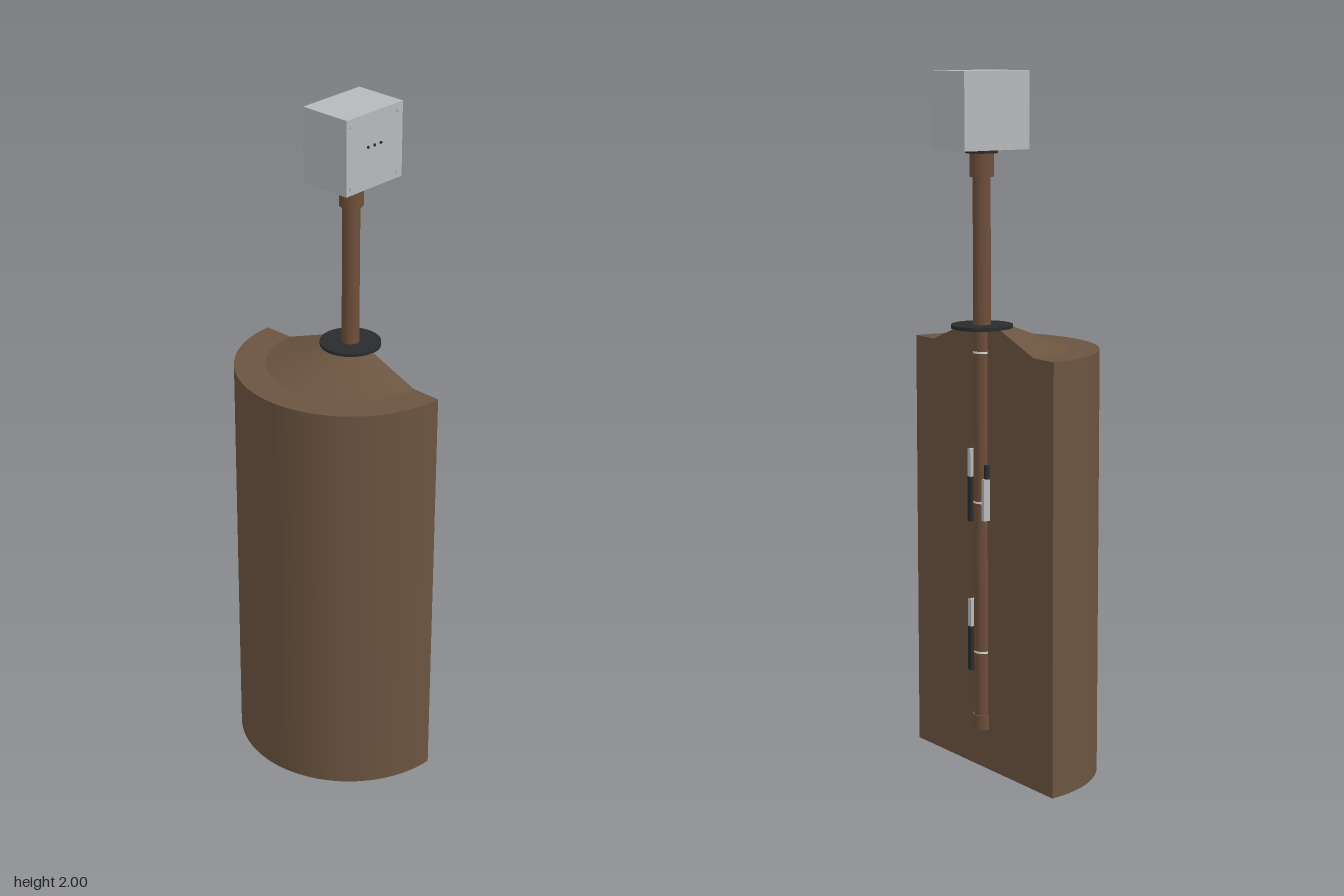
import * as THREE from 'three';
import { toCreasedNormals } from 'three/addons/utils/BufferGeometryUtils.js';

const material = (name, color) => {
  const m = new THREE.MeshStandardMaterial({ color });
  m.name = name;
  return m;
};

export function createModel() {
  const group = new THREE.Group();
  const soil = material('soil brown', 0x6b5440);
  const pipe = material('pipe brown', 0x6d4f3b);
  const grey = material('housing grey', 0xb6b8ba);
  const black = material('rubber black', 0x2a2b2c);
  const white = material('tie white', 0xe4e0d8);
  const AXIS = -0.11; // z of the pipe and of the cut face

  const add = (name, geometry, mat, x, y, z) => {
    const mesh = new THREE.Mesh(geometry, mat);
    mesh.name = name;
    mesh.position.set(x, y, z);
    group.add(mesh);
    return mesh;
  };
  // Cylinder on the pipe axis between two heights
  const ring = (name, radius, y0, y1, mat) =>
    add(name, new THREE.CylinderGeometry(radius, radius, y1 - y0, 48), mat, 0, (y0 + y1) / 2, AXIS);
  const box = (name, w, h, d, mat, x, y, z) =>
    add(name, new THREE.BoxGeometry(w, h, d), mat, x, y, z);

  // Half column of soil with a mound on top
  const profile = [[0, 0], [0.33, 0], [0.33, 1.23], [0.24, 1.23], [0.085, 1.29], [0, 1.29]]
    .map(([x, y]) => new THREE.Vector2(x, y));
  const shell = new THREE.LatheGeometry(profile, 64, -Math.PI / 2, Math.PI);
  add('soilColumn', toCreasedNormals(shell, 0.3), soil, 0, 0, AXIS);

  // Flat cut face at the back
  const outline = profile.slice(1, 5);
  const mirrored = outline.map((p) => new THREE.Vector2(-p.x, p.y)).reverse();
  const face = new THREE.ShapeGeometry(new THREE.Shape([...outline, ...mirrored]));
  add('soilCutFace', face, soil, 0, 0, AXIS).rotation.y = Math.PI;

  // Pipe with end cap, collar and seals
  ring('pipe', 0.025, 0.13, 1.78, pipe);
  ring('endCap', 0.03, 0.12, 0.163, pipe);
  ring('collar', 0.034, 1.71, 1.776, pipe);
  ring('housingSeal', 0.046, 1.775, 1.786, black);
  ring('groundDisc', 0.087, 1.288, 1.298, black);
  for (const y of [0.35, 0.79, 1.22]) ring('tie', 0.0256, y - 0.003, y + 0.003, white);

  // Two sensors on the left of the pipe: black probe below a grey head
  for (const y of [0.29, 0.73]) {
    box('sensorProbe', 0.014, 0.13, 0.05, black, 0.031, y + 0.065, AXIS);
    box('sensorHead', 0.014, 0.08, 0.05, grey, 0.031, y + 0.17, AXIS);
  }
  // Single sensor on the other side
  box('sideSensor', 0.012, 0.12, 0.04, grey, -0.03, 0.8, AXIS);
  box('sideSensorTip', 0.01, 0.04, 0.024, black, -0.03, 0.88, AXIS);

  // Housing with corner screws and three indicator dots
  box('housing', 0.159, 0.215, 0.22, grey, 0.0025, 1.8925, -0.112);
  const stud = (name, radius, mat, y, z) => {
    const geometry = new THREE.CylinderGeometry(radius, radius, 0.004, 16).rotateZ(-Math.PI / 2);
    add(name, geometry, mat, 0.083, y, z);
  };
  for (const y of [1.805, 1.98])
    for (const z of [-0.203, -0.021]) stud('screw', 0.007, grey, y, z);
  for (const z of [-0.085, -0.11, -0.135]) stud('indicator', 0.004, black, 1.905, z);

  return group;
}
